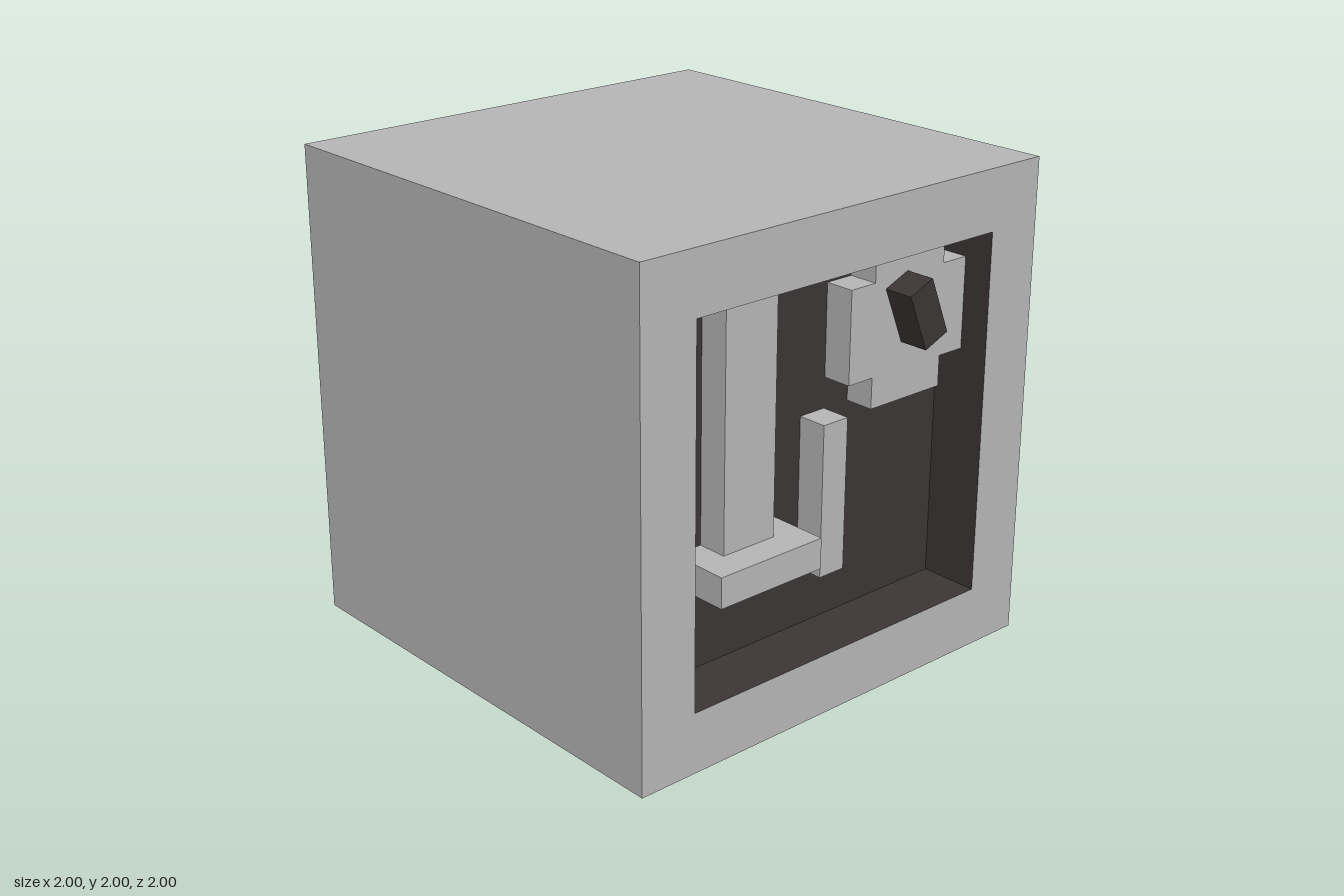
import * as THREE from 'three';

export function createModel() {
  const model = new THREE.Group();
  const lightGrey = new THREE.MeshStandardMaterial({ color: 0xb4b4b4 });
  lightGrey.name = 'lightGrey';
  const darkBrown = new THREE.MeshStandardMaterial({ color: 0x3b3535 });
  darkBrown.name = 'darkBrown';

  const add = (name, geometry, material, x, y, z) => {
    const mesh = new THREE.Mesh(geometry, material);
    mesh.name = name;
    mesh.position.set(x, y, z);
    model.add(mesh);
    return mesh;
  };

  // Box without its front face; inward turns the faces to the inside
  const openBox = (w, h, d, inward) => {
    const geometry = new THREE.BoxGeometry(w, h, d);
    const index = Array.from(geometry.index.array);
    index.splice(24, 6);
    if (inward) index.reverse();
    geometry.setIndex(index);
    geometry.clearGroups();
    geometry.computeVertexNormals();
    return geometry;
  };

  // Box given by its edges in x, y and z
  const block = (name, material, x0, x1, y0, y1, z0, z1) =>
    add(name, new THREE.BoxGeometry(x1 - x0, y1 - y0, z1 - z0), material,
      (x0 + x1) / 2, (y0 + y1) / 2, (z0 + z1) / 2);

  // Cube casing with a square opening in the front
  add('casing', openBox(2, 2, 2, false), lightGrey, 0, 1, 0);
  const square = (s) => [[-s, -s], [s, -s], [s, s], [-s, s]].map(([x, y]) => new THREE.Vector2(x, y));
  const frame = new THREE.Shape(square(1));
  frame.holes.push(new THREE.Path(square(0.75).reverse()));
  add('frontFrame', new THREE.ShapeGeometry(frame), lightGrey, 0, 1, 1);

  // Dark recess behind the opening
  add('recess', openBox(1.5, 1.5, 0.25, true), darkBrown, 0, 1, 0.875);

  // Hanging piston and upright bar
  block('pistonRod', lightGrey, -0.5, -0.25, 0.75, 1.75, 0.75, 0.875);
  block('pistonHead', lightGrey, -0.625, -0.125, 0.625, 0.75, 0.75, 1);
  block('uprightBar', lightGrey, 0, 0.125, 0.5, 1.125, 0.75, 0.875);

  // Cog plate with notched corners
  const outline = [];
  const a = 0.1875, b = 0.3125;
  for (const [sx, sy] of [[1, 1], [-1, 1], [-1, -1], [1, -1]]) {
    const corner = [[b, a], [a, a], [a, b]];
    if (sx * sy < 0) corner.reverse();
    for (const [x, y] of corner) outline.push(new THREE.Vector2(sx * x, sy * y));
  }
  add('cogPlate', new THREE.ExtrudeGeometry(new THREE.Shape(outline),
    { depth: 0.125, bevelEnabled: false }), lightGrey, 0.4375, 1.4375, 0.75);

  // Tilted peg on the cog
  block('cogPeg', darkBrown, 0.351, 0.476, 1.373, 1.623, 0.875, 1).rotation.z = Math.PI / 8;

  return model;
}
